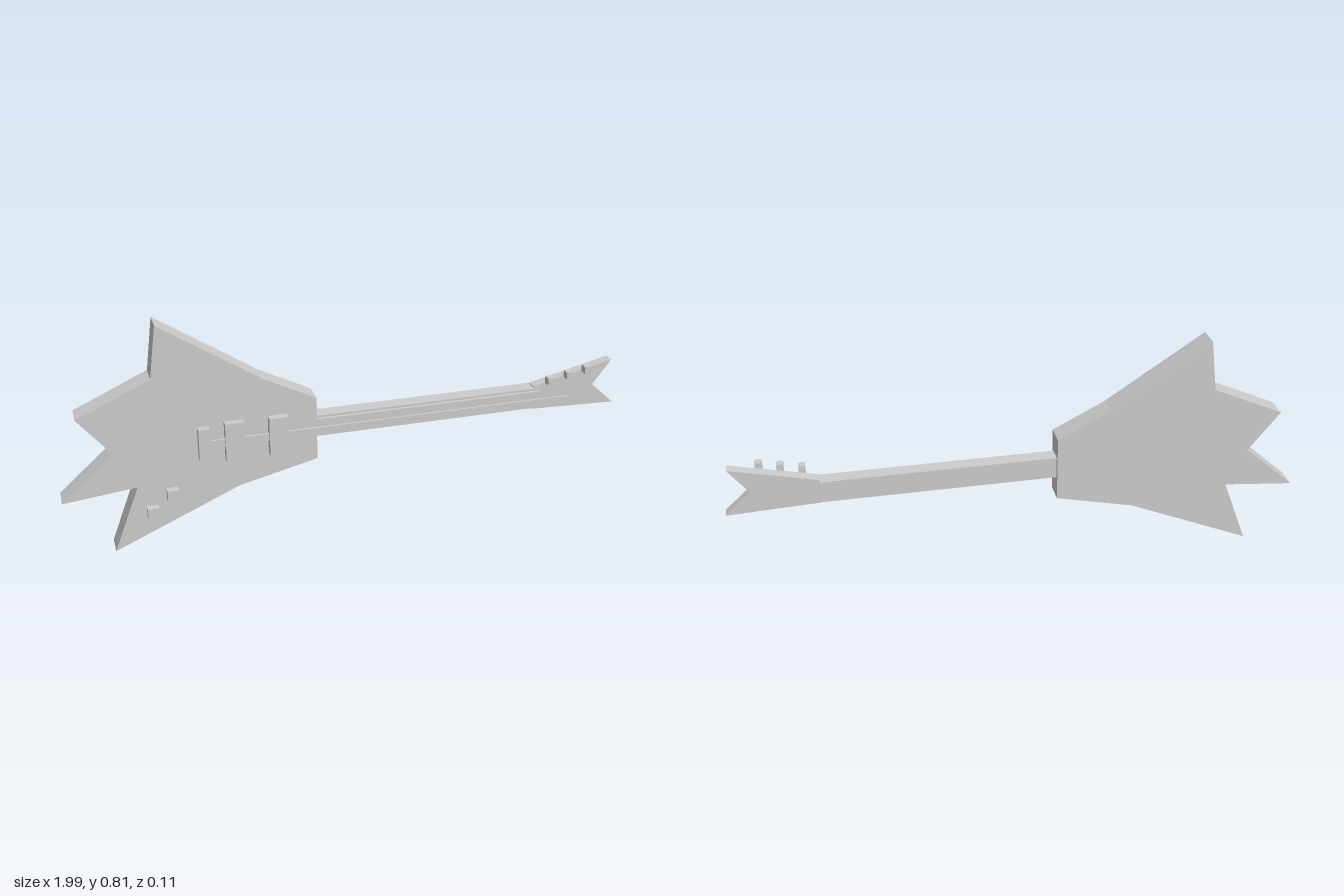
import * as THREE from 'three';

export function createModel() {
  const guitar = new THREE.Group();
  guitar.name = 'electricGuitar';
  const grey = new THREE.MeshStandardMaterial({ color: 0xcccccc });
  grey.name = 'plain grey';

  const add = (name, geometry) => {
    const mesh = new THREE.Mesh(geometry, grey);
    mesh.name = name;
    guitar.add(mesh);
  };

  // Block given by its limits on each axis
  const block = (name, [x0, x1], [y0, y1], [z0, z1]) => {
    const g = new THREE.BoxGeometry(x1 - x0, y1 - y0, z1 - z0);
    g.translate((x0 + x1) / 2, (y0 + y1) / 2, (z0 + z1) / 2);
    add(name, g);
  };

  // Flat slab cut from an outline
  const slab = (name, outline, [z0, z1]) => {
    const shape = new THREE.Shape(outline.map(([x, y]) => new THREE.Vector2(x, y)));
    const g = new THREE.ExtrudeGeometry(shape, { depth: z1 - z0, bevelEnabled: false });
    g.translate(0, 0, z0);
    add(name, g);
  };

  // Star-shaped body
  slab('body', [
    [-0.13, 0.255], [-0.13, 0.485], [-0.31, 0.577], [-0.655, 0.805],
    [-0.68, 0.622], [-0.93, 0.508], [-0.82, 0.37], [-1, 0.21],
    [-0.75, 0.235], [-0.84, 0], [-0.405, 0.19],
  ], [-0.053, 0.027]);

  // Neck, fretboard and forked headstock
  block('neck', [-0.15, 0.68], [0.333, 0.41], [-0.04, 0.012]);
  block('fretboard', [-0.15, 0.695], [0.341, 0.402], [0.012, 0.023]);
  slab('headstock', [
    [0.675, 0.327], [0.993, 0.315], [0.905, 0.395], [0.973, 0.485], [0.675, 0.415],
  ], [-0.032, 0.006]);

  // Strings as one flat strip
  block('strings', [-0.52, 0.79], [0.358, 0.383], [0.04, 0.048]);

  // Bridge and pickups
  block('bridge', [-0.54, -0.5], [0.318, 0.43], [0.027, 0.053]);
  for (const x of [-0.45, -0.3]) {
    block('pickup', [x, x + 0.066], [0.3, 0.44], [0.027, 0.053]);
  }

  // Control knobs
  for (const [x, y] of [[-0.705, 0.14], [-0.635, 0.198]]) {
    block('knob', [x - 0.02, x + 0.02], [y - 0.02, y + 0.02], [0.027, 0.055]);
  }

  // Tuning pegs along the top edge of the headstock
  for (const [x, y] of [[0.73, 0.439], [0.801, 0.454], [0.87, 0.467]]) {
    block('tuningPeg', [x - 0.012, x + 0.012], [y - 0.013, y + 0.013], [0.006, 0.034]);
  }

  return guitar;
}
